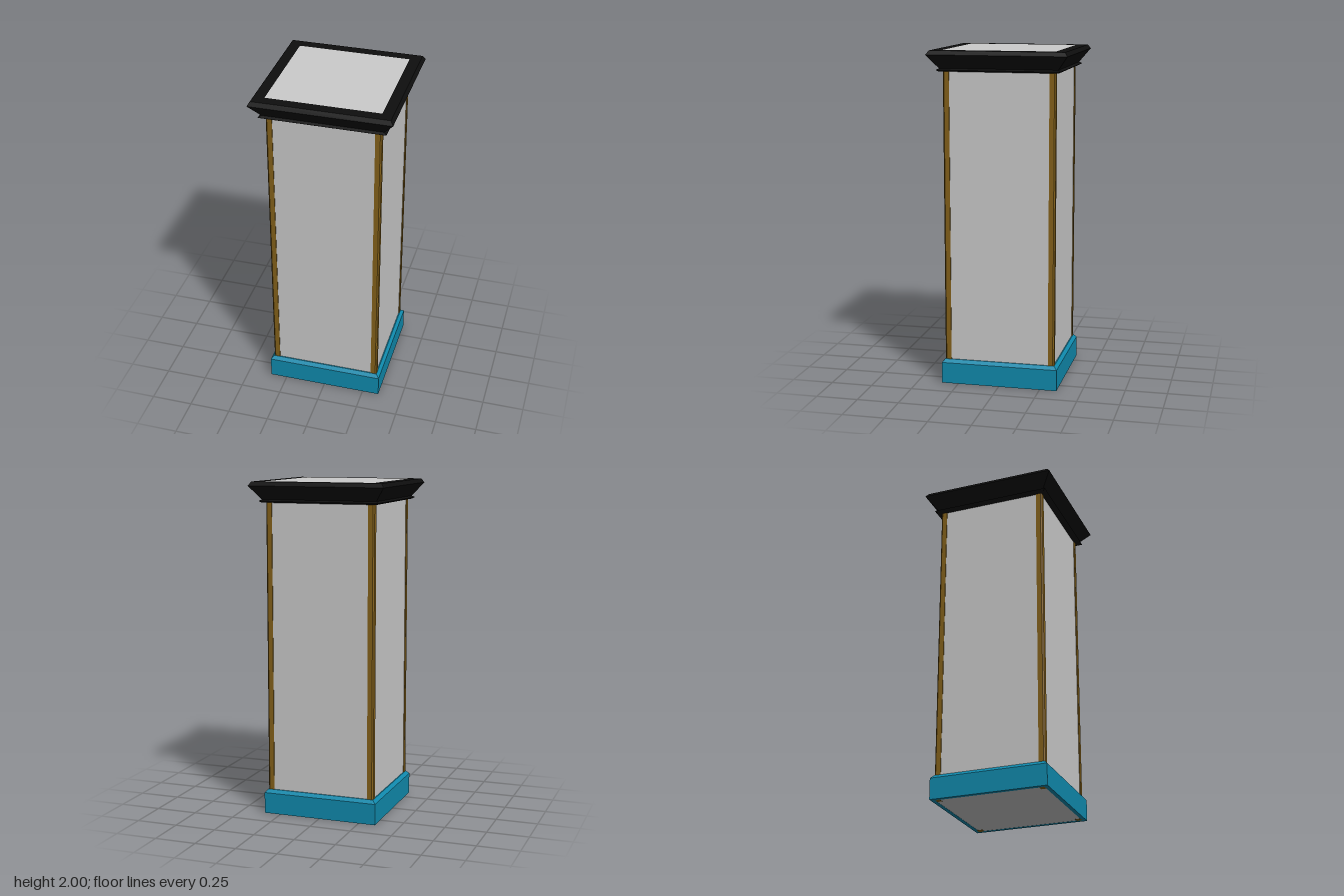
import * as THREE from 'three';

const material = (color) => new THREE.MeshStandardMaterial({ color, flatShading: true });

// Square moulding: sweeps a [half-width, height] profile around four sides
function squareMoulding(name, profile, mat) {
  const points = profile.map(([half, y]) => new THREE.Vector2(half * Math.SQRT2, y));
  const mesh = new THREE.Mesh(new THREE.LatheGeometry(points, 4, Math.PI / 4), mat);
  mesh.name = name;
  return mesh;
}

export function createModel() {
  const model = new THREE.Group();
  model.name = 'column';
  const grey = material(0xcccccc);
  const brown = material(0x85621a);
  const blue = material(0x108bae);
  const black = material(0x0e0e0e);

  const half = 0.333; // half-width over the corner posts
  const post = 0.037; // visible width of a corner post
  const bevel = 0.008;

  // Shaft with four flat panels
  const shaft = new THREE.Mesh(new THREE.BoxGeometry(0.656, 1.9, 0.656), grey);
  shaft.name = 'shaft';
  shaft.position.y = 0.951;
  model.add(shaft);

  // Top panel, level with the crown
  const top = new THREE.Mesh(new THREE.BoxGeometry(half * 2, 0.1, half * 2), grey);
  top.name = 'topPanel';
  top.position.y = 1.95;
  model.add(top);

  // Corner posts with a bevelled outer edge
  const section = new THREE.Shape([
    [half - post, half - post], [half, half - post], [half, half - bevel],
    [half - bevel, half], [half - post, half],
  ].map(([x, y]) => new THREE.Vector2(x, y)));
  const postGeometry = new THREE.ExtrudeGeometry(section, { depth: 1.9, bevelEnabled: false });
  postGeometry.rotateX(-Math.PI / 2);
  for (let i = 0; i < 4; i++) {
    const corner = new THREE.Mesh(postGeometry, brown);
    corner.name = 'cornerPost' + (i + 1);
    corner.rotation.y = i * Math.PI / 2;
    model.add(corner);
  }

  // Skirting with a sloped top edge
  model.add(squareMoulding('base', [
    [0.327, 0], [0.352, 0], [0.352, 0.127], [0.334, 0.147], [0.327, 0.147], [0.327, 0],
  ], blue));

  // Crown: small bead below a flared cornice
  model.add(squareMoulding('crown', [
    [0.327, 1.878], [0.352, 1.878], [0.366, 1.887], [0.35, 1.896],
    [0.412, 1.976], [0.396, 2], [half, 2], [half, 1.9], [0.327, 1.878],
  ], black));

  return model;
}
